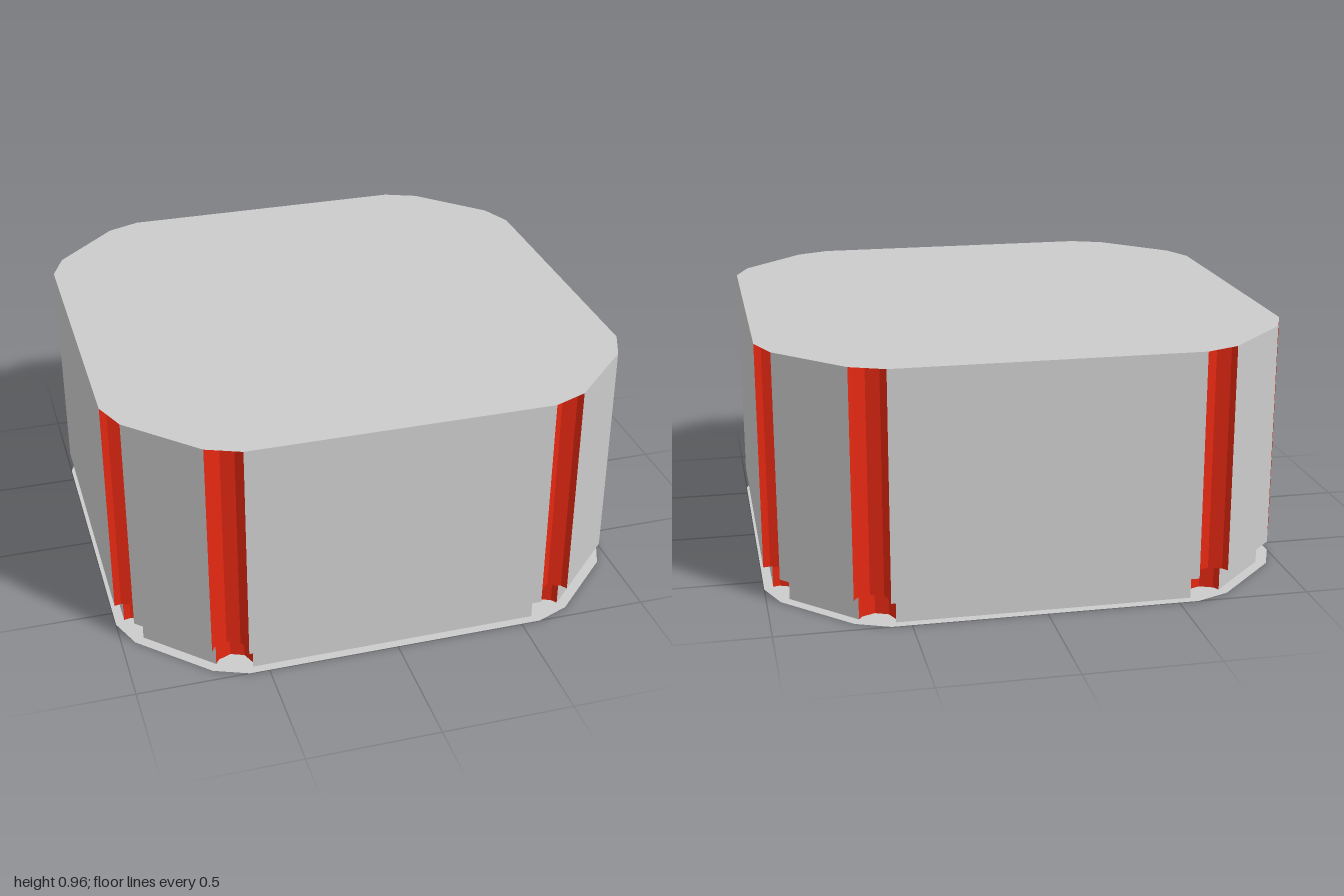
import * as THREE from 'three';

const HEIGHT = 0.96, STEP = 0.09, RADIUS = 0.069;

// One groove cut between two corners of the outline, as half an octagon [x, z];
// dx, dz shift it inward for the recessed base.
function groove(dx, dz) {
  const cx = 0.639 - dx, cz = 0.974 - dz;
  const points = [[0.575 - dx, 1 - dz]];
  for (let i = 0; i < 4; i++) {
    const a = Math.PI + i * Math.PI / 4;
    points.push([cx + RADIUS * Math.cos(a), cz + RADIUS * Math.sin(a)]);
  }
  points.push([0.703 - dx, 0.948 - dz]);
  return points;
}

// Repeat a groove, its mirror image and quarter turns around the plan.
function outline(half) {
  const quarter = [...half, ...half.map(([x, z]) => [z, x]).reverse()];
  const all = [];
  for (let k = 0, pts = quarter; k < 4; k++) {
    all.push(...pts);
    pts = pts.map(([x, z]) => [z, -x]);
  }
  return all;
}

// Vertical flat-faced strip along a run of plan points.
function strip(points, y0, y1) {
  const pos = [];
  for (let i = 0; i + 1 < points.length; i++) {
    const [ax, az] = points[i], [bx, bz] = points[i + 1];
    pos.push(ax, y0, az, bx, y0, bz, bx, y1, bz, ax, y0, az, bx, y1, bz, ax, y1, az);
  }
  const g = new THREE.BufferGeometry();
  g.setAttribute('position', new THREE.Float32BufferAttribute(pos, 3));
  g.computeVertexNormals();
  return g;
}

// Thin horizontal sheet with the given plan.
function sheet(points, y) {
  const shape = new THREE.Shape(points.map(([x, z]) => new THREE.Vector2(x, -z)));
  return new THREE.ShapeGeometry(shape).rotateX(-Math.PI / 2).translate(0, y, 0);
}

export function createModel() {
  const model = new THREE.Group();
  const grey = new THREE.MeshStandardMaterial({ color: 0xcccccc, side: THREE.DoubleSide, flatShading: true });
  const red = new THREE.MeshStandardMaterial({ color: 0xe62812, side: THREE.DoubleSide, flatShading: true });
  const add = (name, geometry, material) => {
    const mesh = new THREE.Mesh(geometry, material);
    mesh.name = name;
    model.add(mesh);
  };

  // Grey panels alternate with red grooves around the walls
  function walls(name, half, y0, y1) {
    const ring = outline(half), n = half.length;
    for (let i = 0; i < 8; i++) {
      const run = ring.slice(i * n, (i + 1) * n);
      const next = ring[((i + 1) * n) % ring.length];
      add(name + 'Groove', strip(run, y0, y1), red);
      add(name + 'Panel', strip([run[n - 1], next], y0, y1), grey);
    }
  }

  const upper = groove(0, 0);
  walls('body', upper, STEP, HEIGHT);
  walls('base', groove(0.021, 0.035), 0, STEP);

  // Underside of the body where it overhangs the base
  add('ledge', sheet(outline(upper), STEP), grey);

  // Top and bottom plates span straight across the grooves
  const plate = outline([upper[0], upper[upper.length - 1]]);
  add('topPlate', sheet(plate, HEIGHT), grey);
  add('bottomPlate', sheet(plate, 0), grey);
  return model;
}
